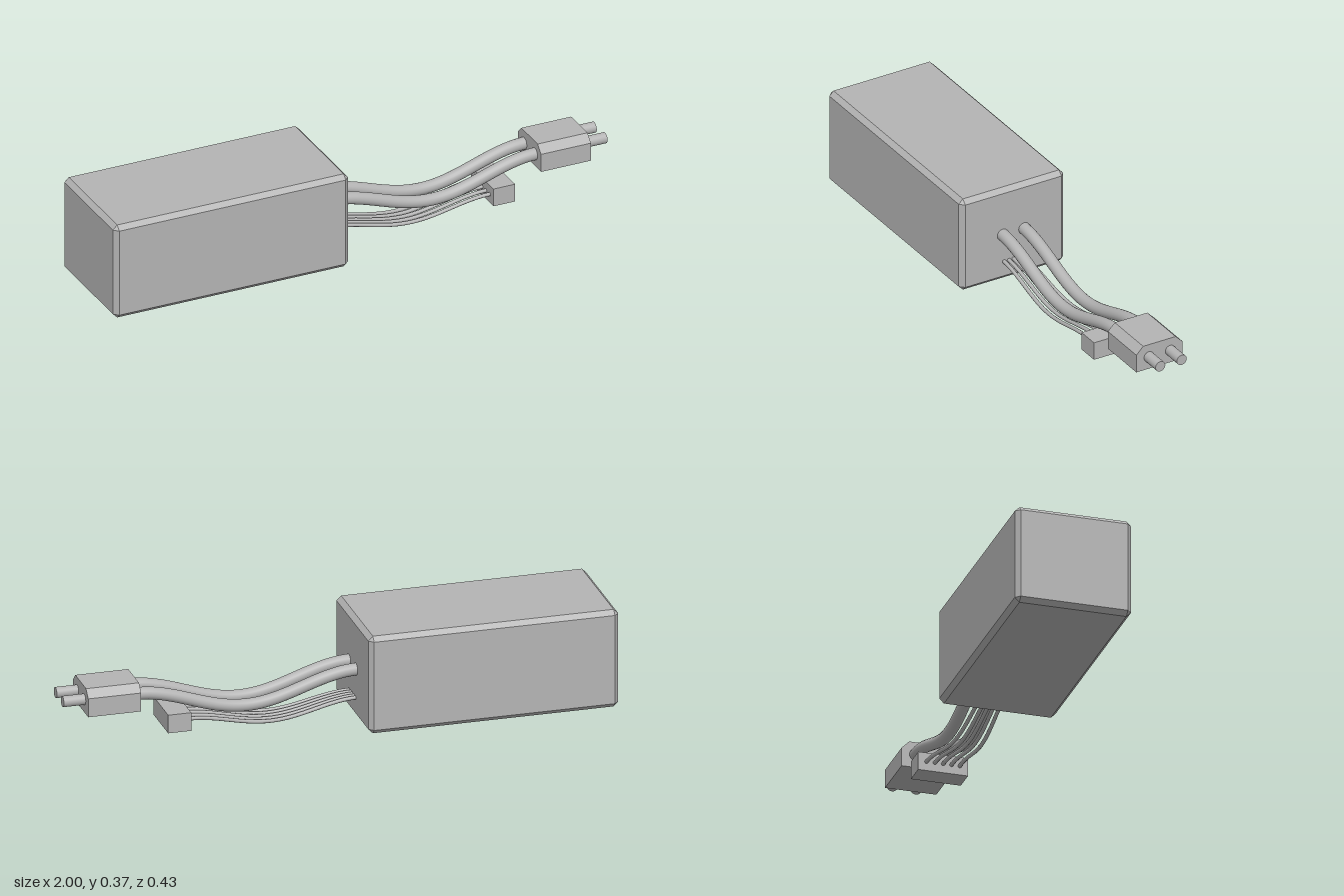
import * as THREE from 'three';
import { ConvexGeometry } from 'three/addons/geometries/ConvexGeometry.js';

// Box with every edge cut at 45 degrees
function chamferedBox(w, h, d, c) {
  const pts = [];
  for (const x of [-w / 2, w / 2])
    for (const y of [-h / 2, h / 2])
      for (const z of [-d / 2, d / 2]) {
        const cx = c * Math.sign(x), cy = c * Math.sign(y), cz = c * Math.sign(z);
        pts.push(
          new THREE.Vector3(x, y - cy, z - cz),
          new THREE.Vector3(x - cx, y, z - cz),
          new THREE.Vector3(x - cx, y - cy, z)
        );
      }
  return new ConvexGeometry(pts);
}

// Sagging cable along x, drifting sideways from z0 to z1
function cable(x0, x1, yTop, yLow, z0, z1, radius, sides) {
  const pts = [];
  for (let i = 0; i <= 16; i++) {
    const t = i / 16;
    const sag = (1 - Math.cos(t * Math.PI * 2)) / 2;
    pts.push(new THREE.Vector3(
      x0 + (x1 - x0) * t, yTop + (yLow - yTop) * sag, z0 + (z1 - z0) * t));
  }
  return new THREE.TubeGeometry(new THREE.CatmullRomCurve3(pts), 48, radius, sides);
}

export function createModel() {
  const model = new THREE.Group();
  model.name = 'batteryPack';
  const grey = new THREE.MeshStandardMaterial({ color: 0xb4b4b4 });
  grey.name = 'grey';

  const add = (name, geometry, x = 0, y = 0, z = 0) => {
    const mesh = new THREE.Mesh(geometry, grey);
    mesh.name = name;
    mesh.position.set(x, y, z);
    model.add(mesh);
    return mesh;
  };

  // Battery body
  add('body', chamferedBox(0.92, 0.37, 0.43, 0.017), -0.54, 0.185, 0);

  // Power plug: keyed profile with two cut upper corners, extruded along x
  const profile = new THREE.Shape([
    [-0.095, 0.138], [0.095, 0.138], [0.095, 0.208],
    [0.067, 0.236], [-0.067, 0.236], [-0.095, 0.208]
  ].map(([x, y]) => new THREE.Vector2(x, y)));
  const plug = new THREE.ExtrudeGeometry(profile, { depth: 0.195, bevelEnabled: false });
  plug.rotateY(Math.PI / 2);
  add('powerPlug', plug, 0.725);

  // Power cables and plug pins
  for (const side of [-1, 1]) {
    const z = side * 0.044;
    add('powerCable', cable(-0.09, 0.735, 0.187, 0.097, z, z, 0.0225, 20));
    const pin = new THREE.CylinderGeometry(0.02, 0.02, 0.09, 24);
    pin.rotateZ(Math.PI / 2);
    add('plugPin', pin, 0.955, 0.187, z);
  }

  // Balance connector and its fan of thin wires
  add('balanceConnector', new THREE.BoxGeometry(0.085, 0.069, 0.184), 0.5825, 0.076, 0);
  for (let i = -2; i <= 2; i++)
    add('balanceWire', cable(-0.09, 0.55, 0.076, 0.028, i * 0.019, i * 0.031, 0.007, 10));

  return model;
}
